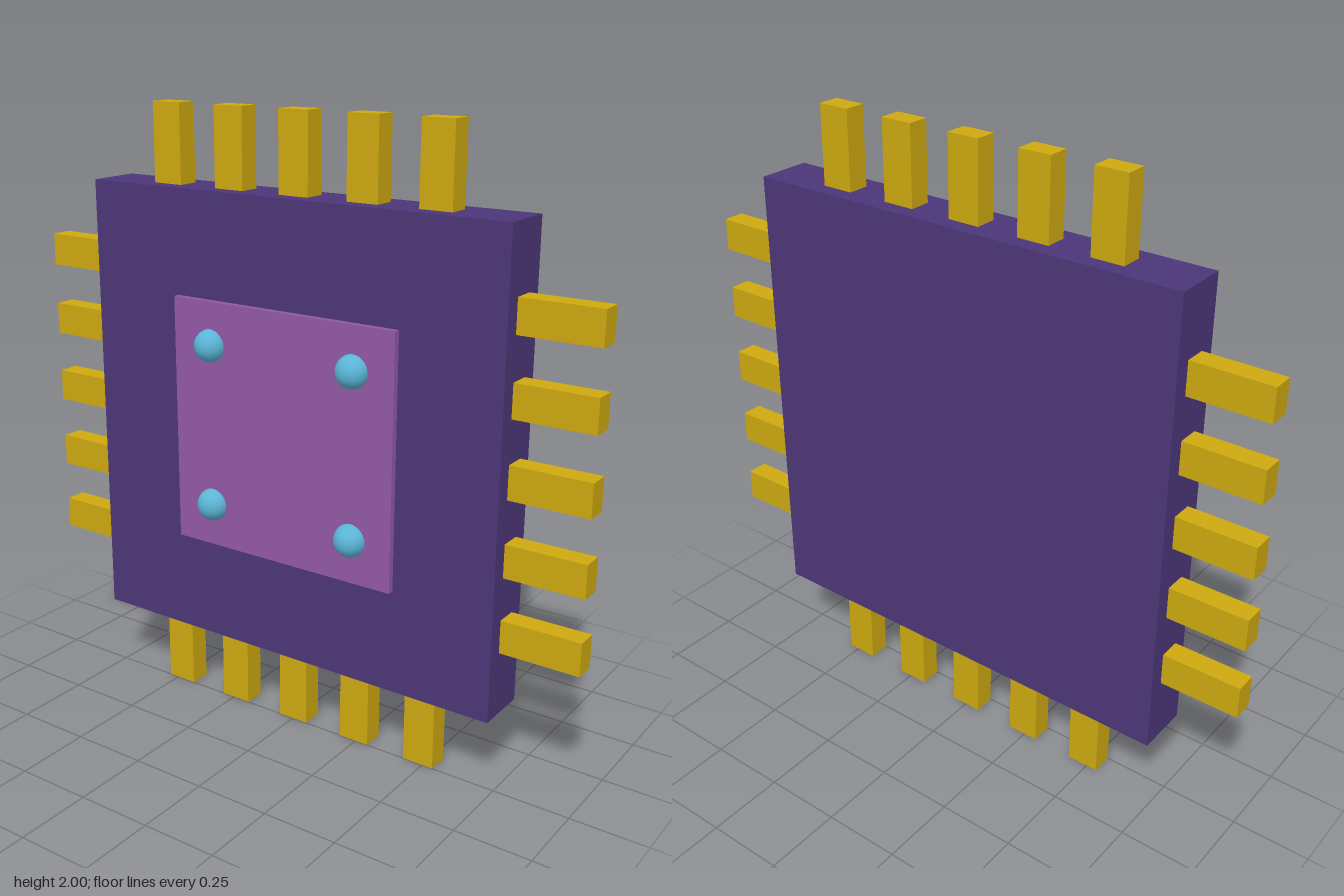
import * as THREE from 'three';

export function createModel() {
  const material = (name, color) => {
    const m = new THREE.MeshStandardMaterial({ color });
    m.name = name;
    return m;
  };
  const bodyPurple = material('body purple', 0x4b3677);
  const platePurple = material('plate purple', 0x9158a4);
  const gold = material('pin gold', 0xcca810);
  const blue = material('stud blue', 0x5bb5d6);

  const model = new THREE.Group();
  model.name = 'microchip';
  const add = (name, geometry, mat, x, y, z) => {
    const mesh = new THREE.Mesh(geometry, mat);
    mesh.name = name;
    mesh.position.set(x, y, z);
    model.add(mesh);
  };

  // Square body and the raised plate on its front
  add('body', new THREE.BoxGeometry(1.49, 1.49, 0.178), bodyPurple, 0, 1.003, -0.036);
  add('plate', new THREE.BoxGeometry(0.814, 0.814, 0.04), platePurple, 0, 1.003, 0.054);

  // Five pins along each of the four edges, set slightly into the body
  const length = 0.27;
  const reach = 1 - length / 2;
  const uprightPin = new THREE.BoxGeometry(0.106, length, 0.071);
  const sidePin = new THREE.BoxGeometry(length, 0.106, 0.071);
  for (let i = -2; i <= 2; i++) {
    const offset = i * 0.2415;
    for (const s of [-1, 1]) {
      add(s > 0 ? 'topPin' : 'bottomPin', uprightPin, gold, offset, 1 + s * reach, -0.036);
      add(s > 0 ? 'leftPin' : 'rightPin', sidePin, gold, s * reach, 1.003 + offset, -0.036);
    }
  }

  // Round studs near the plate corners
  const stud = new THREE.SphereGeometry(0.053, 32, 20);
  for (const sx of [-1, 1]) {
    for (const sy of [-1, 1]) {
      add('stud', stud, blue, sx * 0.265, 1.003 + sy * 0.266, 0.072);
    }
  }
  return model;
}
